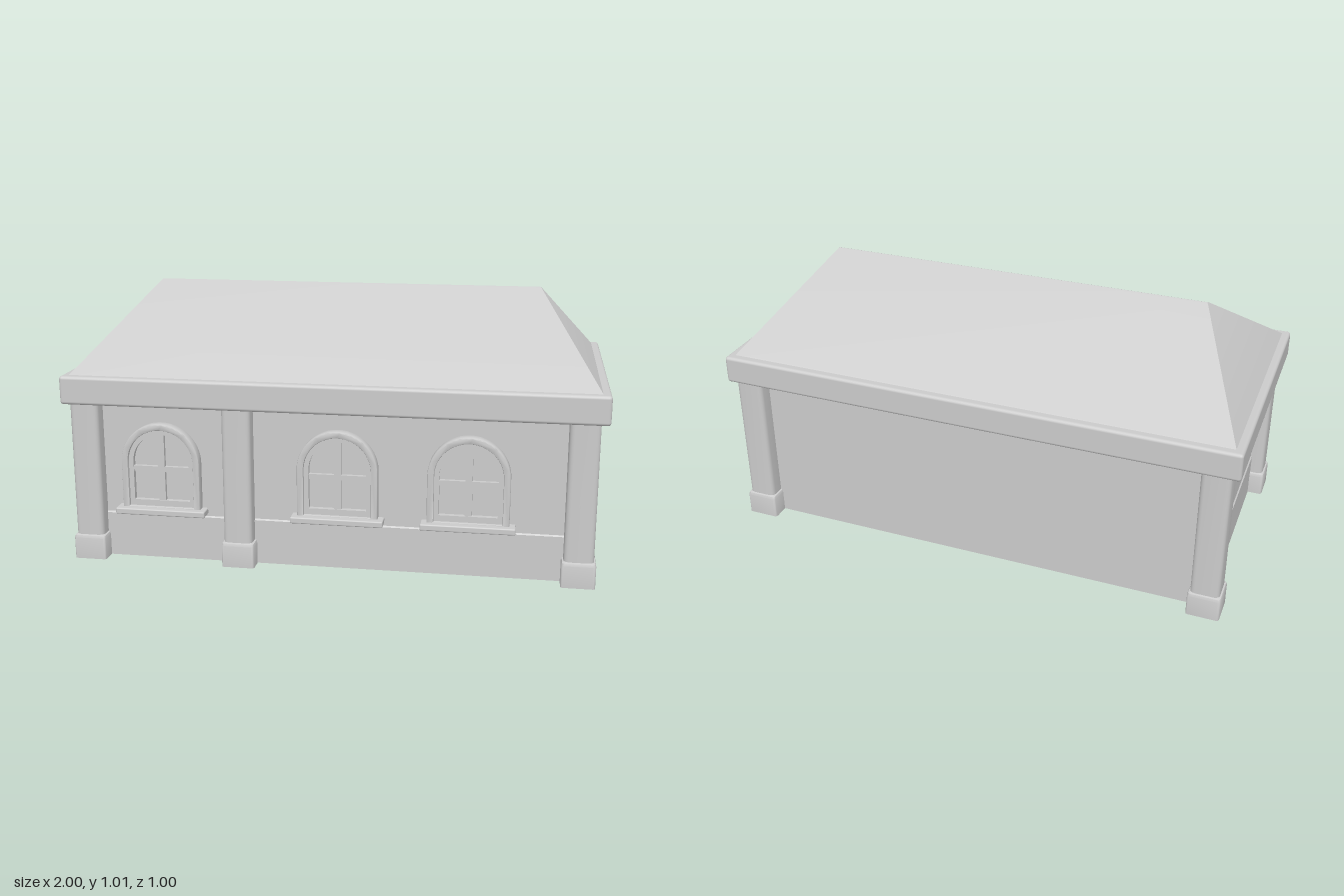
import * as THREE from 'three';
import { toCreasedNormals } from 'three/addons/utils/BufferGeometryUtils.js';
import { RoundedBoxGeometry } from 'three/addons/geometries/RoundedBoxGeometry.js';

const grey = new THREE.MeshStandardMaterial({ color: 0xcccccc });
const greyThin = new THREE.MeshStandardMaterial({ color: 0xcccccc, side: THREE.DoubleSide });

function add(parent, name, geometry, x = 0, y = 0, z = 0, material = grey) {
  const mesh = new THREE.Mesh(geometry, material);
  mesh.name = name;
  mesh.position.set(x, y, z);
  parent.add(mesh);
  return mesh;
}

// Rectangle in plan, with rounded corners when r > 0
function outline(hx, hz, r) {
  const points = [];
  const steps = r > 0 ? 4 : 0;
  [[1, 1], [-1, 1], [-1, -1], [1, -1]].forEach(([sx, sz], corner) => {
    for (let i = 0; i <= steps; i++) {
      const a = (corner + (steps ? i / steps : 0.5)) * Math.PI / 2;
      points.push([sx * (hx - r) + r * Math.cos(a), sz * (hz - r) + r * Math.sin(a)]);
    }
  });
  return points;
}

// Skin through stacked rings [y, halfX, halfZ, cornerRadius, zShift]; ends stay open
function loft(rings) {
  const position = [], index = [];
  let n = 0;
  rings.forEach(([y, hx, hz, r, dz = 0], k) => {
    const points = outline(hx, hz, r);
    n = points.length;
    points.forEach(([x, z]) => position.push(x, y, z + dz));
    if (k === 0) return;
    for (let i = 0; i < n; i++) {
      const j = (i + 1) % n, lo = (k - 1) * n, hi = k * n;
      index.push(lo + i, hi + i, lo + j, lo + j, hi + i, hi + j);
    }
  });
  const geometry = new THREE.BufferGeometry();
  geometry.setAttribute('position', new THREE.Float32BufferAttribute(position, 3));
  geometry.setIndex(index);
  return toCreasedNormals(geometry, 0.6);
}

// Round-headed opening
const SPRING = 0.385;
function arch(r, bottom, PathType = THREE.Shape) {
  const p = new PathType();
  p.moveTo(-r, bottom);
  p.lineTo(r, bottom);
  p.lineTo(r, SPRING);
  p.absarc(0, SPRING, r, 0, Math.PI, false);
  p.lineTo(-r, bottom);
  return p;
}

function archFrame(outer, outerBottom, inner, innerBottom, depth, bevel) {
  const shape = arch(outer - bevel, outerBottom);
  shape.holes.push(arch(inner + bevel, innerBottom, THREE.Path));
  const geometry = new THREE.ExtrudeGeometry(shape, {
    depth: depth - bevel, bevelEnabled: bevel > 0, bevelSize: bevel,
    bevelThickness: bevel, bevelSegments: 2, curveSegments: 20,
  });
  return toCreasedNormals(geometry, 0.6);
}

const WALL_X = 0.915, WALL_Z = 0.43;

function createWindow(x) {
  const group = new THREE.Group();
  group.name = 'window';
  group.position.set(x, 0, WALL_Z);
  add(group, 'windowPane', new THREE.ShapeGeometry(arch(0.125, 0.2), 20), 0, 0, 0.003);
  add(group, 'windowSurround', archFrame(0.15, 0.2, 0.125, 0.207, 0.035, 0.005));
  add(group, 'windowCasement', archFrame(0.127, 0.2, 0.107, 0.235, 0.022, 0));
  add(group, 'windowMullion', new THREE.BoxGeometry(0.026, 0.29, 0.018), 0, 0.36, 0.009);
  add(group, 'windowTransom', new THREE.BoxGeometry(0.22, 0.02, 0.018), 0, 0.357, 0.009);
  add(group, 'windowSill', new RoundedBoxGeometry(0.345, 0.024, 0.06, 2, 0.005), 0, 0.197, 0.03);
  return group;
}

function createColumn(x, z) {
  const group = new THREE.Group();
  group.name = 'column';
  group.position.set(x, 0, z);
  add(group, 'columnBase', loft([
    [0, 0.062, 0.062, 0.01], [0.083, 0.062, 0.062, 0.01],
    [0.092, 0.059, 0.059, 0.01], [0.096, 0.053, 0.053, 0.01], [0.096, 0.03, 0.03, 0.01],
  ]));
  add(group, 'columnShaft', loft([[0.09, 0.054, 0.054, 0.018], [0.615, 0.054, 0.054, 0.018]]));
  return group;
}

export function createModel() {
  const house = new THREE.Group();
  house.name = 'house';

  // Thin walls with a slight plinth step on the front and the sides
  const step = 0.005;
  add(house, 'walls', loft([
    [0, WALL_X + step, WALL_Z + step / 2, 0, step / 2],
    [0.17, WALL_X + step, WALL_Z + step / 2, 0, step / 2],
    [0.175, WALL_X, WALL_Z, 0],
    [0.615, WALL_X, WALL_Z, 0],
  ]), 0, 0, 0, greyThin);

  // Four corner columns and one on the front
  for (const x of [-WALL_X, WALL_X]) for (const z of [-0.434, 0.434]) house.add(createColumn(x, z));
  house.add(createColumn(-0.337, 0.434));

  for (const x of [-0.635, 0.035, 0.515]) house.add(createWindow(x));

  // Eave band and hipped roof
  add(house, 'eaveBand', new RoundedBoxGeometry(2, 0.107, 1, 3, 0.012), 0, 0.659, 0);
  add(house, 'roof', loft([
    [0.705, 0.975, 0.48, 0], [1.01, 0.748, 0.008, 0], [1.013, 0.744, 0.0005, 0],
  ]));
  return house;
}
